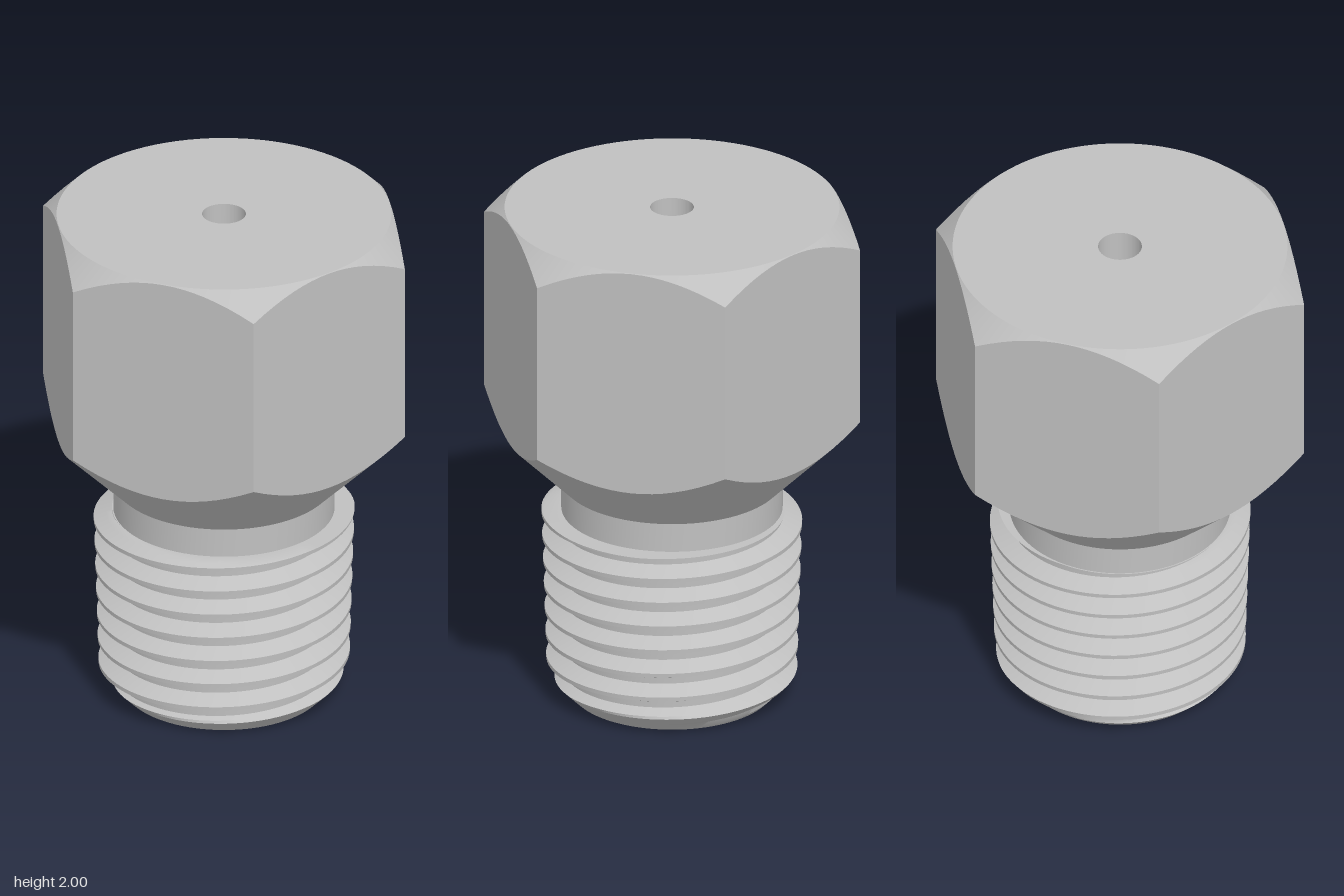
import * as THREE from 'three';
import { toCreasedNormals } from 'three/addons/utils/BufferGeometryUtils.js';

const TAU = Math.PI * 2;
const COLS = 96;

// Sweep a profile around the y axis; profile(phi) returns [radius, height] points
function sweep(profile) {
  const cols = [];
  for (let i = 0; i <= COLS; i++) {
    const phi = ((i % COLS) / COLS) * TAU;
    cols.push(profile(i === COLS ? TAU : phi).map(([r, y]) =>
      new THREE.Vector3(r * Math.cos(phi), y, r * Math.sin(phi))));
  }
  const pos = [];
  const area = new THREE.Triangle();
  const tri = (a, b, c) => {
    if (area.set(a, b, c).getArea() < 1e-8) return;
    for (const p of [a, b, c]) pos.push(p.x, p.y, p.z);
  };
  for (let i = 0; i < COLS; i++) {
    for (let j = 0; j < cols[i].length - 1; j++) {
      const a = cols[i][j], b = cols[i][j + 1];
      const c = cols[i + 1][j], d = cols[i + 1][j + 1];
      tri(a, b, c);
      tri(b, d, c);
    }
  }
  const geo = new THREE.BufferGeometry();
  geo.setAttribute('position', new THREE.Float32BufferAttribute(pos, 3));
  return toCreasedNormals(geo, 0.5);
}

// Hexagon radius at an angle, with corners on the x axis
const APOTHEM = 0.637;
const hexRadius = (phi) => APOTHEM / Math.cos((phi % (Math.PI / 3)) - Math.PI / 6);

// Hexagonal head: cone underneath, flats, top chamfer and small blind hole
function headProfile(phi) {
  const r = hexRadius(phi);
  return [
    [0.42, 0.87], [r, r + 0.45], [r, 2 - (r - 0.635)],
    [0.635, 2], [0.083, 2], [0.083, 1.5], [0, 1.5],
  ];
}

// Right-handed, slightly tapered screw thread with a chamfered start
const PITCH = 0.1, THREAD_TOP = 0.755;
const STEPS = [[-0.08, 1], [0.08, 1], [0.18, 0.667], [0.28, 0.333], [0.38, 0],
  [0.62, 0], [0.72, 0.333], [0.82, 0.667]];

// Thread height (0 root, 1 crest) at a fraction of the pitch
function ridge(t) {
  const d = Math.abs(t - Math.round(t));
  return THREE.MathUtils.clamp((0.38 - d) / 0.3, 0, 1);
}

function threadProfile(phi) {
  const start = 0.055 - PITCH * phi / TAU;
  const rows = [];
  for (let k = -1; k <= 9; k++) {
    for (const [t] of STEPS) {
      const y = THREE.MathUtils.clamp(start + (k + t) * PITCH, 0, THREAD_TOP);
      const root = 0.41 + 0.02 * y, crest = 0.473 + 0.03 * y;
      const r = root + (crest - root) * ridge((y - start) / PITCH);
      rows.push([Math.min(r, 0.385 + y), y]);
    }
  }
  rows.push([0.42, THREAD_TOP]);
  return rows;
}

export function createModel() {
  const group = new THREE.Group();
  group.name = 'threadedHexFitting';
  const steel = new THREE.MeshStandardMaterial({ color: 0xc0c0c0 });
  steel.name = 'plain steel';

  const add = (name, profile) => {
    const mesh = new THREE.Mesh(sweep(profile), steel);
    mesh.name = name;
    group.add(mesh);
  };

  add('hexHead', headProfile);
  add('neck', () => [[0.42, THREAD_TOP], [0.42, 0.87]]);
  add('screwThread', threadProfile);
  // Bottom face with the wide bore
  add('bore', () => [[0, 1.4], [0.17, 1.4], [0.17, 0], [0.385, 0]]);

  return group;
}
